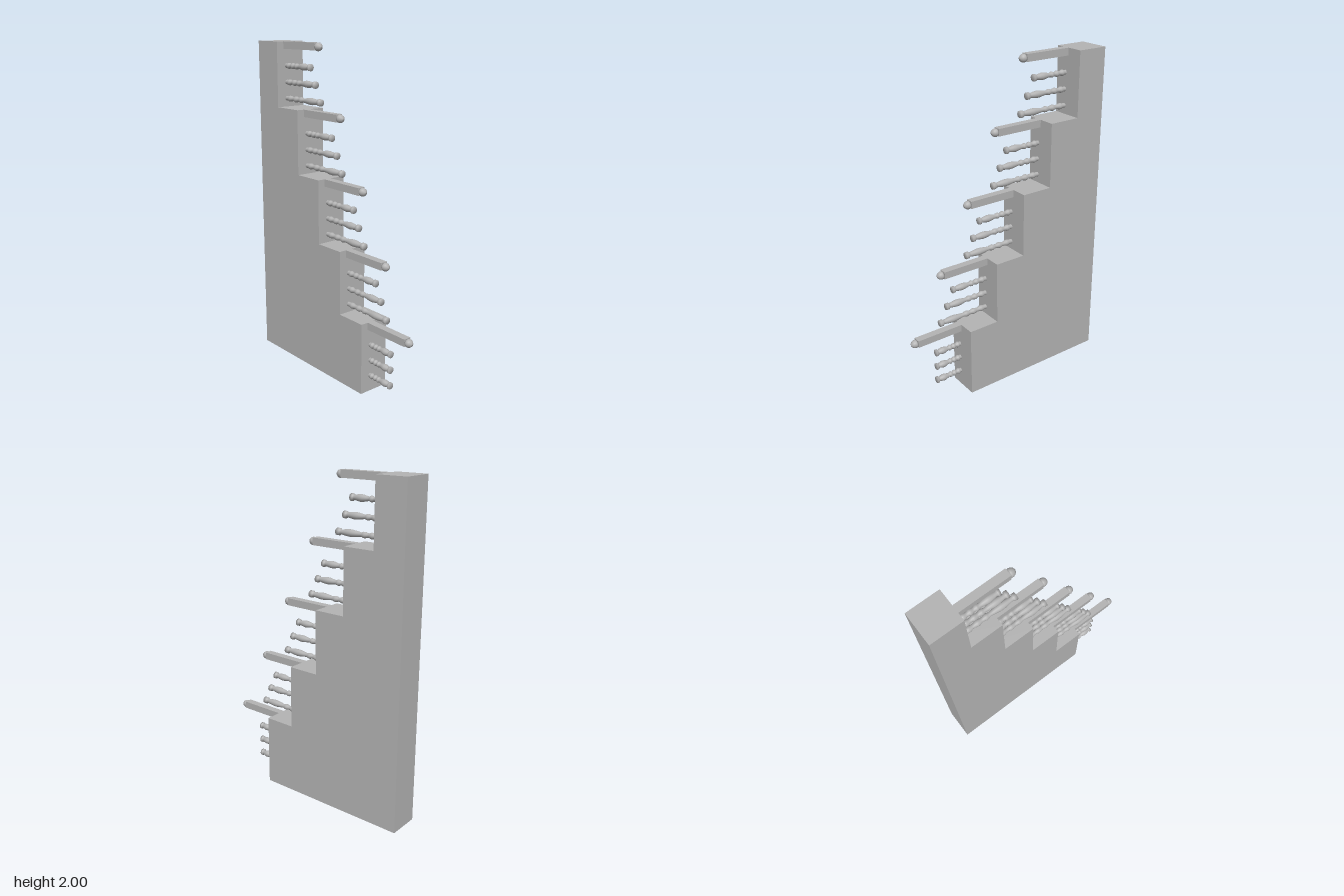
import * as THREE from 'three';

const WIDTH = 0.192, BACK = -0.653, STEPS = 5, RISE = 0.39, RUN = 0.1943;
const FIRST_TOP = 0.44, FIRST_FRONT = 0.316, RAIL_X = -0.026;

// Baluster profile: [radius, fraction of length from the root]
const TURNED = [
  [0.014, 0], [0.014, 0.06], [0.018, 0.09], [0.018, 0.13], [0.013, 0.17],
  [0.013, 0.22], [0.018, 0.26], [0.018, 0.3], [0.013, 0.34], [0.013, 0.38],
  [0.018, 0.42], [0.017, 0.46], [0.012, 0.5], [0.015, 0.57], [0.02, 0.67],
  [0.021, 0.74], [0.018, 0.82], [0.014, 0.9], [0.015, 0.93], [0.021, 0.94],
  [0.021, 1], [0, 1],
];
// Domed cap profile: [radius, distance along the post]
const DOME = [[0, 0], [0.022, 0], [0.0245, 0.007], [0.0245, 0.014], [0.021, 0.025], [0.013, 0.034], [0, 0.039]];

// Lathe whose axis points along +z
function turned(profile, length) {
  const points = profile.map(([r, t]) => new THREE.Vector2(r, t * length));
  return new THREE.LatheGeometry(points, 16).rotateX(Math.PI / 2);
}

export function createModel() {
  const model = new THREE.Group();
  model.name = 'staircase';
  const grey = new THREE.MeshStandardMaterial({ color: 0xb3b3b3 });
  grey.name = 'plain grey';

  const add = (name, geometry, x, y, z, parent) => {
    const mesh = new THREE.Mesh(geometry, grey);
    mesh.name = name;
    mesh.position.set(x, y, z);
    parent.add(mesh);
  };

  const domeGeometry = turned(DOME, 1);
  const postLength = 0.298;
  const postGeometry = new THREE.BoxGeometry(0.046, 0.044, postLength);

  for (let i = 0; i < STEPS; i++) {
    const step = new THREE.Group();
    step.name = 'step' + (i + 1);
    model.add(step);

    // Solid block, reaching to the common back plane
    const top = FIRST_TOP + i * RISE;
    const bottom = i === 0 ? 0 : top - RISE;
    const front = FIRST_FRONT - i * RUN;
    const depth = front - BACK;
    add('block', new THREE.BoxGeometry(WIDTH, top - bottom, depth), 0, (top + bottom) / 2, (front + BACK) / 2, step);

    // Square post with a domed end
    add('post', postGeometry, RAIL_X, top - 0.022, front + postLength / 2, step);
    add('postCap', domeGeometry, RAIL_X, top - 0.0245, front + postLength, step);

    // Three turned balusters, shorter towards the top on all but the first step
    for (let j = 0; j < 3; j++) {
      const length = i === 0 ? 0.175 : 0.333 - j * 0.047;
      add('baluster', turned(TURNED, length), RAIL_X, i * RISE + 0.1 + j * 0.098, front, step);
    }
  }
  return model;
}
